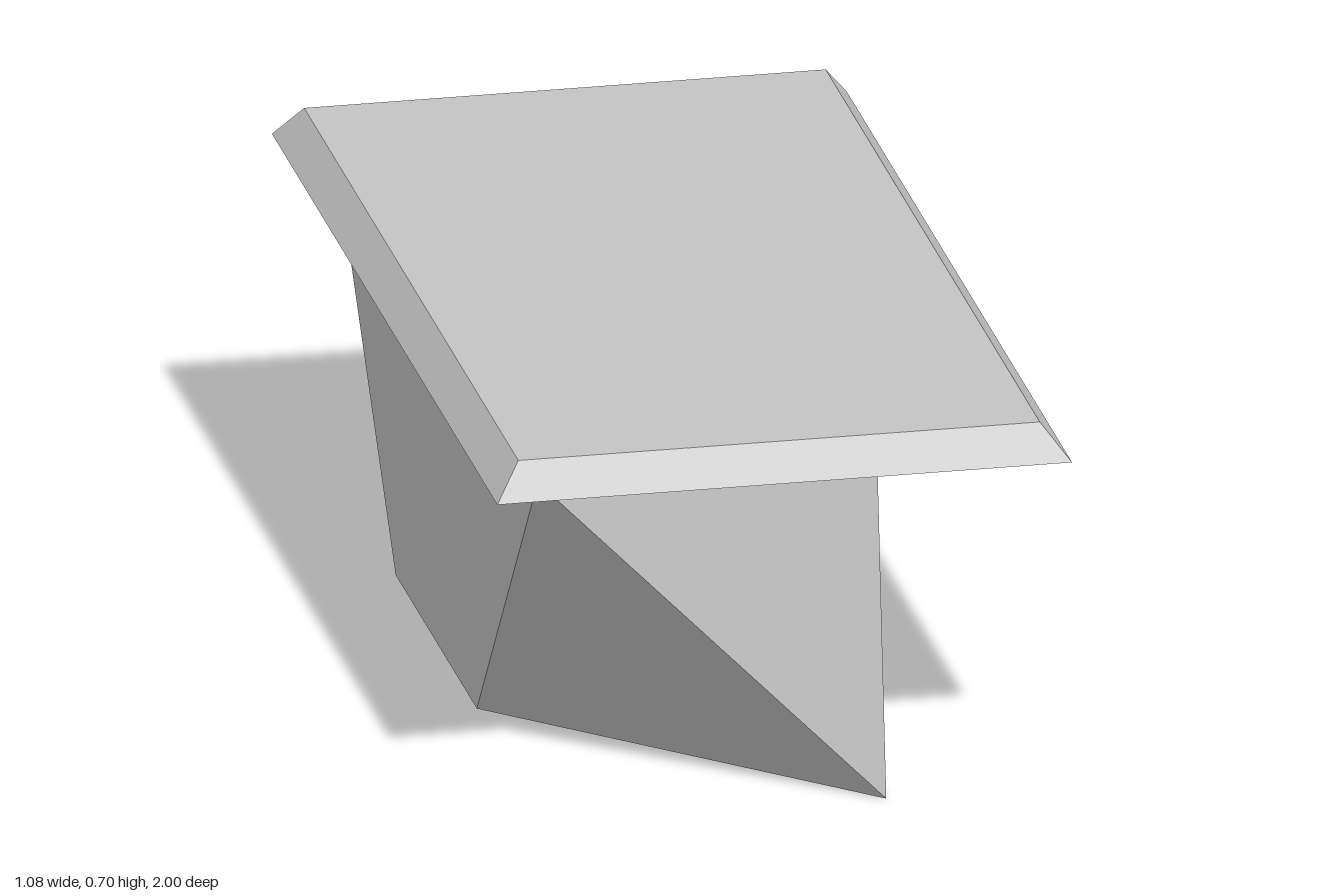
import * as THREE from 'three';
import { ConvexGeometry } from 'three/addons/geometries/ConvexGeometry.js';

// Faceted solid from half its corners, mirrored front to back
function mirroredSolid(name, corners, material) {
  const points = [];
  for (const [x, y, z] of corners) {
    for (const s of [1, -1]) points.push(new THREE.Vector3(x, y, s * z));
  }
  const mesh = new THREE.Mesh(new ConvexGeometry(points), material);
  mesh.name = name;
  return mesh;
}

export function createModel() {
  const group = new THREE.Group();
  group.name = 'slabOnWedge';
  const grey = new THREE.MeshStandardMaterial({ color: 0xc4c4c4 });
  grey.name = 'grey';

  const slabBase = 0.64, slabTop = 0.705;

  // Top slab with bevelled rim
  group.add(mirroredSolid('topSlab', [
    [-0.54, slabBase, 1], [0.54, slabBase, 1],
    [-0.49, slabTop, 0.95], [0.49, slabTop, 0.95],
  ], grey));

  // Base block: long foot on the left side, short foot on the right, slanted ends
  group.add(mirroredSolid('baseBlock', [
    [-0.443, slabBase, 0.9], [0.195, slabBase, 0.9],
    [0.195, 0, 0.98], [-0.443, 0, 0.36],
  ], grey));

  return group;
}
